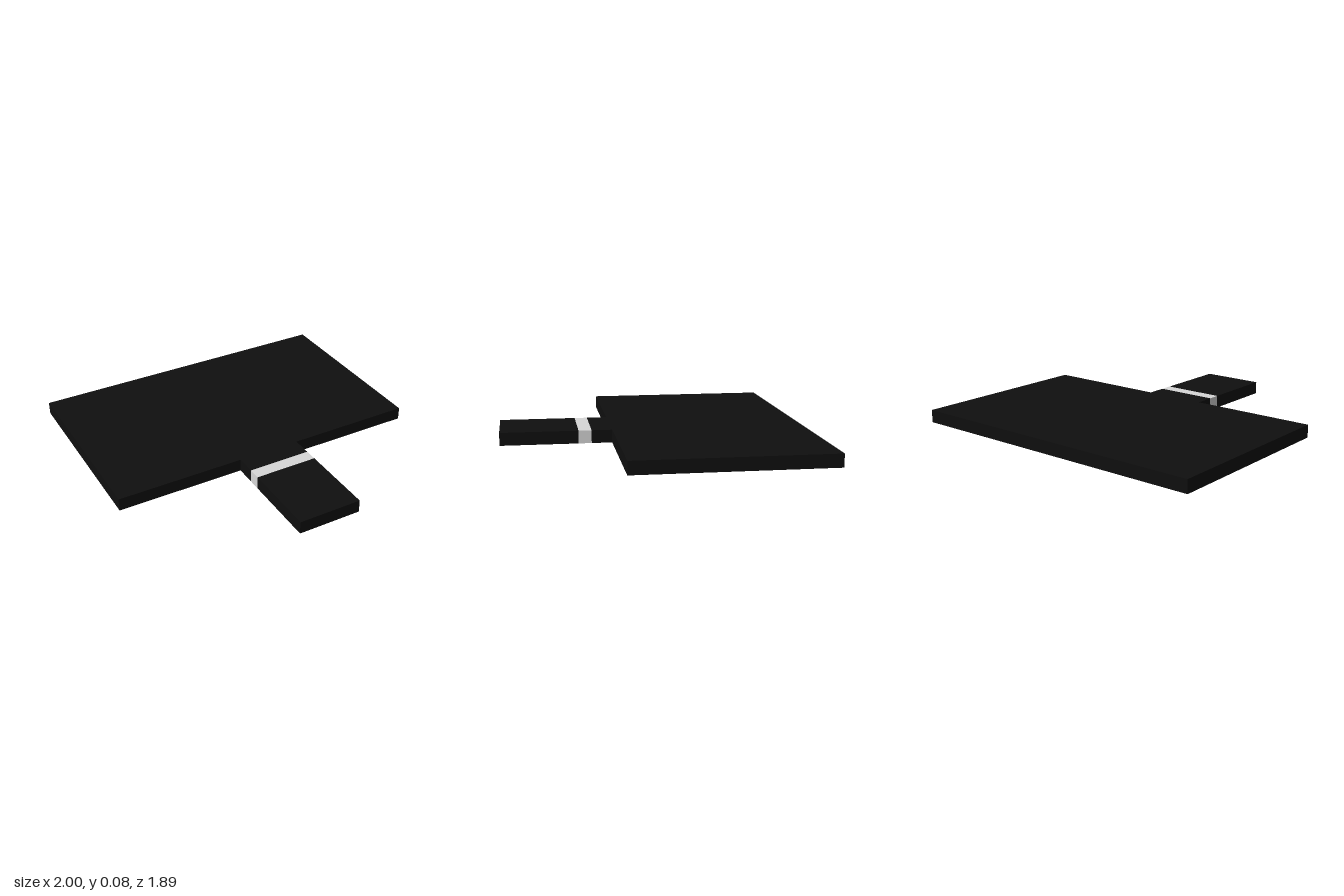
import * as THREE from 'three';

const THICKNESS = 0.08;

export function createModel() {
  const black = new THREE.MeshStandardMaterial({ color: 0x0f0f0f });
  black.name = 'black';
  const lightGrey = new THREE.MeshStandardMaterial({ color: 0xd8d8d8 });
  lightGrey.name = 'light grey';

  const model = new THREE.Group();
  model.name = 'paddleBoard';

  // A flat slab of the shared thickness, spanning zBack to zFront
  const slab = (name, width, zBack, zFront, material) => {
    const mesh = new THREE.Mesh(new THREE.BoxGeometry(width, THICKNESS, zFront - zBack), material);
    mesh.name = name;
    mesh.position.set(0, THICKNESS / 2, (zBack + zFront) / 2);
    model.add(mesh);
  };

  slab('board', 2, -0.943, 0.257, black);
  // Handle in three lengths, with a pale band around it
  slab('handleNeck', 0.4, 0.257, 0.383, black);
  slab('handleBand', 0.4, 0.383, 0.463, lightGrey);
  slab('handleGrip', 0.4, 0.463, 0.943, black);

  return model;
}
